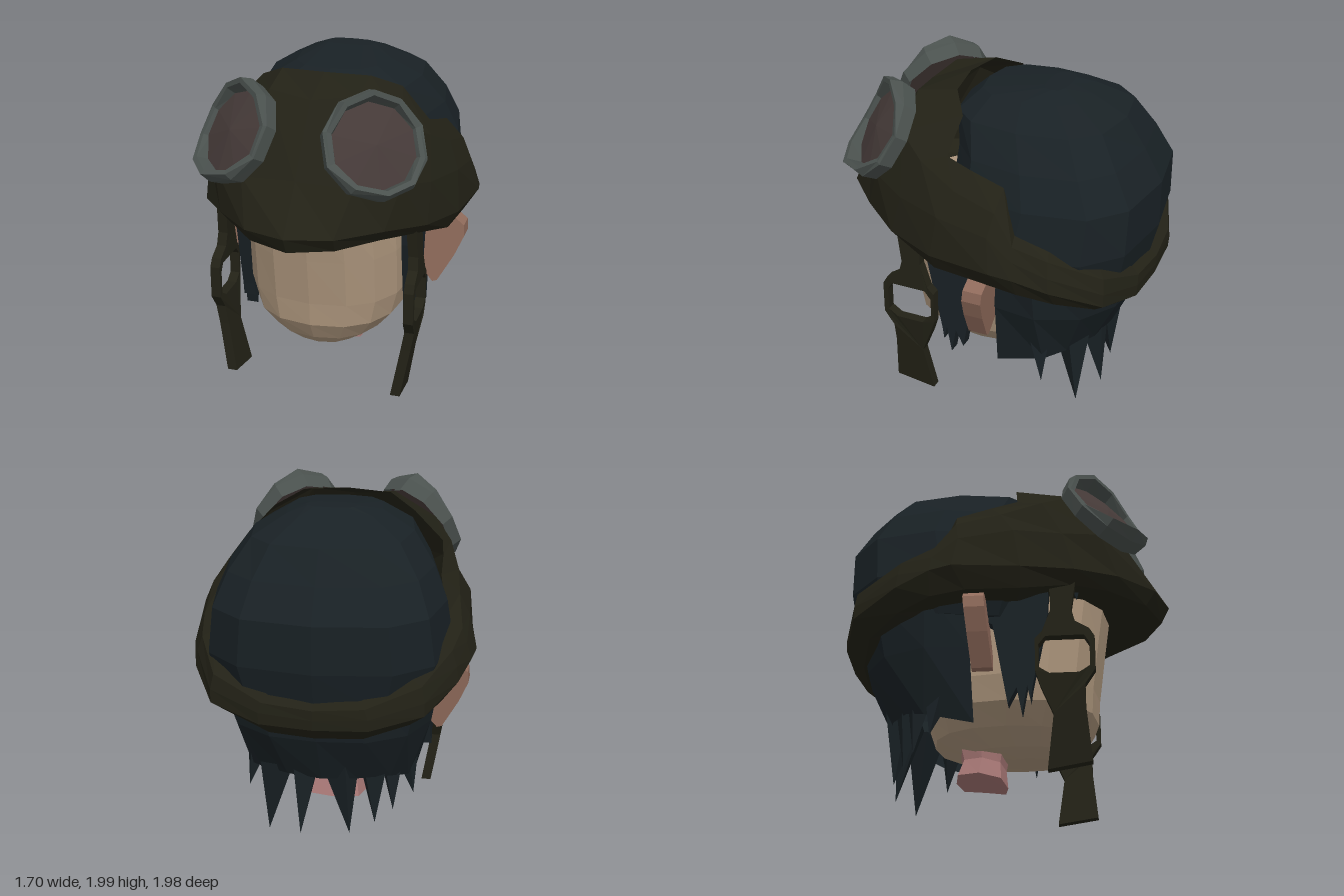
import * as THREE from 'three';

const mat = (color) => new THREE.MeshStandardMaterial({ color, flatShading: true, side: THREE.DoubleSide });
const V = (x, y, z) => new THREE.Vector3(x, y, z);

// Skin a grid of points: rows run downwards, columns run to the right seen from outside
function grid(rows, closed, cap = false) {
  const n = rows[0].length, pos = [], idx = [];
  rows.forEach((row) => row.forEach((p) => pos.push(...p)));
  for (let i = 0; i < rows.length - 1; i++) {
    for (let j = 0; j < (closed ? n : n - 1); j++) {
      const k = (j + 1) % n, a = i * n + j, b = i * n + k;
      idx.push(a, a + n, b + n, a, b + n, b);
    }
  }
  if (cap) {
    const last = (rows.length - 1) * n;
    for (let j = 1; j < n - 1; j++) idx.push(0, j, j + 1, last, last + j + 1, last + j);
  }
  const g = new THREE.BufferGeometry();
  g.setAttribute('position', new THREE.Float32BufferAttribute(pos, 3));
  g.setIndex(idx);
  g.computeVertexNormals();
  return g;
}

// Rounded-square horizontal ring: height, half width, front z, back z
function ring([y, hw, zf, zb], n, power) {
  const round = (v) => Math.sign(v) * Math.abs(v) ** (2 / power);
  return Array.from({ length: n }, (_, i) => {
    const t = (i / n) * Math.PI * 2;
    return [hw * round(Math.sin(t)), y, (zf + zb) / 2 + ((zf - zb) / 2) * round(Math.cos(t))];
  });
}

// Plate drawn as (z, y) points, starting at x and growing outwards by depth
function sidePlate(points, x, depth, hole) {
  const shape = new THREE.Shape(points.map((p) => new THREE.Vector2(...p)));
  if (hole) shape.holes.push(new THREE.Path(hole.map((p) => new THREE.Vector2(...p))));
  return new THREE.ExtrudeGeometry(shape, { depth, bevelEnabled: false })
    .rotateY(-Math.PI / 2).translate(x + depth, 0, 0);
}

function bend(geometry, rule) {
  const p = geometry.attributes.position, v = V();
  for (let i = 0; i < p.count; i++) {
    rule(v.fromBufferAttribute(p, i));
    p.setXYZ(i, v.x, v.y, v.z);
  }
  geometry.computeVertexNormals();
  return geometry;
}

export function createModel() {
  const model = new THREE.Group();
  const hair = mat(0x192125), cloth = mat(0x222116), skin = mat(0xac957c);
  const earSkin = mat(0x906b5b), neckSkin = mat(0xa87876), metal = mat(0x4a514e), glass = mat(0x453a38);

  const add = (name, geometry, material) => {
    const m = new THREE.Mesh(geometry, material);
    m.name = name;
    model.add(m);
    return m;
  };
  // Left part and its mirror image
  const pair = (name, geometry, material) => {
    add('left' + name, geometry, material);
    add('right' + name, geometry, material).scale.x = -1;
  };

  // Face and jaw
  const faceRings = [
    [1.2, 0.48, 0.62, -0.5], [0.92, 0.5, 0.58, -0.5], [0.62, 0.5, 0.54, -0.5], [0.47, 0.46, 0.53, -0.5],
    [0.35, 0.36, 0.46, -0.46], [0.27, 0.23, 0.37, -0.28], [0.24, 0.1, 0.28, -0.02],
  ];
  add('face', grid(faceRings.map((r) => ring(r, 16, 2.35)), true, true), skin);

  // Neck stump, dipping at the front
  const neckRings = [[0.4, 0.2, 0.0, -0.34], [0.23, 0.17, -0.03, -0.29], [0.13, 0.19, -0.02, -0.33]];
  const neck = grid(neckRings.map((r) => ring(r, 8, 3.5)), true, true);
  add('neck', bend(neck, (v) => { v.y -= Math.max(0, v.z + 0.1) * 0.5; }), neckSkin);

  // Ears: thin plates standing out sideways and leaning back
  const earShape = new THREE.Shape([
    [0.5, 0.72], [0.62, 0.58], [0.65, 0.59], [0.75, 0.77], [0.805, 0.9], [0.8, 0.97], [0.72, 1.03], [0.5, 1.05],
  ].map((p) => new THREE.Vector2(...p)));
  const ear = new THREE.ExtrudeGeometry(earShape, { depth: 0.12, bevelEnabled: false });
  pair('Ear', bend(ear, (v) => { v.z += -0.17 - (v.y - 0.6) * 0.1; }), earSkin);

  // Crown of the hair
  const crownRings = [
    [2.0, 0.15, -0.28, -0.42], [1.955, 0.28, 0.1, -0.55], [1.85, 0.47, 0.22, -0.76], [1.67, 0.6, 0.18, -0.88],
    [1.48, 0.68, 0.2, -0.99], [1.2, 0.72, 0.3, -0.99], [0.95, 0.64, 0.2, -0.93],
  ];
  add('hairCrown', grid(crownRings.map((r) => ring(r, 12, 2.75)), true, true), hair);

  // Back hair, wrapped from ear to ear
  const half = [
    [[0.6, 1.1, -0.1], [0.67, 1.1, -0.45], [0.57, 1.1, -0.76], [0.3, 1.1, -0.91], [0, 1.1, -0.95]],
    [[0.58, 0.75, -0.19], [0.61, 0.75, -0.45], [0.5, 0.75, -0.7], [0.28, 0.75, -0.84], [0, 0.75, -0.87]],
    [[0.5, 0.32, -0.17], [0.48, 0.39, -0.46], [0.39, 0.43, -0.58], [0.21, 0.45, -0.69], [0, 0.45, -0.73]],
  ];
  const flip = ([x, y, z]) => [-x, y, z];
  add('backHair', grid(half.map((r) => [...r, ...r.slice(0, -1).reverse().map(flip)]), false), hair);

  // Loose strands: base x, base y, base z, tip x, tip y, tip z, radius
  const strands = [
    [0.29, 0.55, -0.57, 0.34, 0.04, -0.63, 0.12], [0.1, 0.55, -0.64, 0.13, 0.07, -0.72, 0.11],
    [-0.1, 0.55, -0.64, -0.16, 0.08, -0.68, 0.12], [-0.28, 0.55, -0.57, -0.3, 0.12, -0.6, 0.11],
    [-0.38, 0.55, -0.5, -0.4, 0.18, -0.53, 0.09],
    [0.44, 0.55, -0.42, 0.5, 0.24, -0.46, 0.09], [-0.45, 0.55, -0.38, -0.51, 0.25, -0.42, 0.09],
    [0.41, 1.2, 0.48, 0.39, 1.08, 0.5, 0.05], [-0.46, 1.2, 0.42, -0.48, 1.08, 0.43, 0.05],
  ];
  for (const [bx, by, bz, tx, ty, tz, r] of strands) {
    const base = V(bx, by, bz), tip = V(tx, ty, tz), dir = tip.clone().sub(base);
    const strand = add('hairStrand', new THREE.ConeGeometry(r, dir.length(), 4), hair);
    strand.position.copy(base).add(tip).multiplyScalar(0.5);
    strand.quaternion.setFromUnitVectors(V(0, 1, 0), dir.normalize());
  }

  // Side locks in front of the ears
  pair('SideLock', sidePlate([
    [0.27, 1.18], [0.26, 0.95], [0.17, 0.5], [0.16, 0.42], [0.14, 0.51], [0.11, 0.34], [0.08, 0.5],
    [0.03, 0.4], [-0.01, 0.62], [-0.06, 0.9], [-0.18, 0.97], [-0.18, 1.18],
  ], 0.49, 0.075), hair);

  // Cap: half columns from front to back, each running from lower edge to upper edge
  const crownColumns = [
    [[0, 1.14, 0.94], [0, 1.24, 0.99], [0, 1.5, 0.77], [0, 1.88, 0.48], [0, 1.97, 0.22]],
    [[0.25, 1.14, 0.84], [0.26, 1.23, 0.9], [0.33, 1.48, 0.74], [0.26, 1.91, 0.44], [0.27, 1.96, 0.18]],
    [[0.46, 1.14, 0.62], [0.49, 1.22, 0.68], [0.56, 1.47, 0.58], [0.53, 1.76, 0.41], [0.43, 1.88, 0.07]],
    [[0.62, 1.11, 0.4], [0.68, 1.18, 0.43], [0.68, 1.42, 0.36], [0.64, 1.66, 0.24], [0.6, 1.7, 0.09]],
    [[0.74, 1.04, 0.12], [0.8, 1.15, 0.12], [0.78, 1.4, 0.08], [0.71, 1.55, 0], [0.62, 1.65, -0.07]],
    [[0.77, 1.03, -0.2], [0.85, 1.15, -0.27], [0.8, 1.35, -0.24], [0.74, 1.48, -0.26], [0.63, 1.59, -0.27]],
  ];
  const bandColumns = [
    [[0.76, 1.0, -0.4], [0.83, 1.13, -0.4], [0.8, 1.23, -0.39], [0.77, 1.31, -0.38], [0.67, 1.36, -0.36]],
    [[0.68, 0.94, -0.6], [0.77, 1.06, -0.6], [0.76, 1.15, -0.59], [0.73, 1.24, -0.58], [0.66, 1.28, -0.56]],
    [[0.52, 0.86, -0.79], [0.61, 0.95, -0.87], [0.61, 1.03, -0.87], [0.59, 1.12, -0.86], [0.52, 1.15, -0.81]],
    [[0.27, 0.79, -0.87], [0.31, 0.88, -0.97], [0.31, 0.95, -0.975], [0.29, 1.01, -0.97], [0.26, 1.04, -0.92]],
    [[0, 0.78, -0.89], [0, 0.87, -0.985], [0, 0.93, -0.99], [0, 0.99, -0.99], [0, 1.02, -0.94]],
  ];
  const halfCap = [...crownColumns, ...bandColumns];
  const columns = [...halfCap, ...halfCap.slice(1, -1).reverse().map((c) => c.map(flip))];
  const capRows = [4, 3, 2, 1, 0].map((i) => columns.map((c) => c[i]));
  capRows.push(columns.map(([[x, y, z]]) => [x * 0.78, y, z * 0.65])); // underside
  add('cap', grid(capRows, true), cloth);

  // Hanging chin straps with a buckle opening, tapering inwards at the bottom
  const strap = sidePlate([
    [0.46, 1.25], [0.43, 1.15], [0.4, 0.95], [0.42, 0.87], [0.5, 0.82], [0.53, 0.77], [0.53, 0.57], [0.47, 0.48],
    [0.47, 0.36], [0.5, 0.05], [0.25, 0.01], [0.29, 0.32], [0.22, 0.48], [0.19, 0.57], [0.19, 0.77],
    [0.23, 0.81], [0.28, 0.95], [0.27, 1.25],
  ], 0.575, 0.06, [
    [0.47, 0.78], [0.5, 0.73], [0.5, 0.59], [0.44, 0.55], [0.27, 0.55], [0.21, 0.59], [0.21, 0.73], [0.25, 0.78],
  ]);
  pair('Strap', bend(strap, (v) => { v.x -= 0.17 * Math.max(0, 0.5 - v.y) + 0.05 * Math.max(0, v.y - 0.8); }), cloth);

  // Goggles set into the cap, facing up and outwards
  const rim = new THREE.LatheGeometry([
    [0.25, -0.03], [0.265, 0.07], [0.295, 0.08], [0.315, 0.01], [0.3, -0.08],
  ].map((p) => new THREE.Vector2(...p)), 10);
  // The lip stands tall above and below the lens and sinks away at its two sides
  bend(rim, (v) => {
    const side = (v.x * 0.76 - v.z * 0.65) / Math.hypot(v.x, v.z);
    if (v.y > 0) v.y *= 1.1 - 1.1 * side * side;
  });
  const lens = new THREE.ConeGeometry(0.275, 0.04, 10);
  const turn = new THREE.Quaternion().setFromUnitVectors(V(0, 1, 0), V(0.55, 0.5, 0.65).normalize());
  for (const g of [rim, lens]) g.applyQuaternion(turn).translate(0.42, 1.705, 0.625);
  pair('GoggleRim', rim, metal);
  pair('GoggleLens', lens, glass);

  return model;
}
